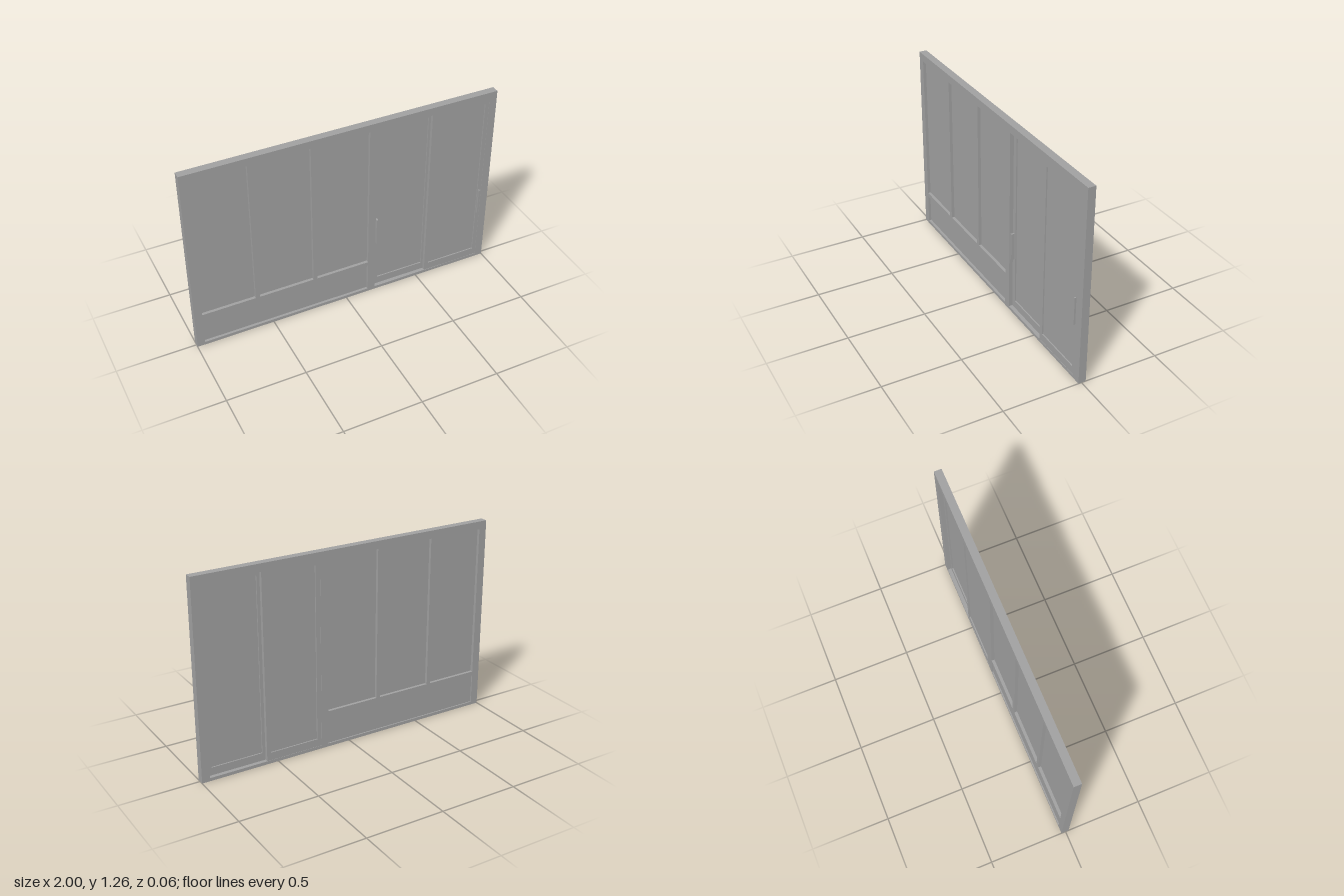
import * as THREE from 'three';

export function createModel() {
  const model = new THREE.Group();
  model.name = 'slidingWindowWall';
  const grey = new THREE.MeshStandardMaterial({ color: 0xa0a0a0 });
  grey.name = 'grey';

  const add = (name, geometry) => {
    const mesh = new THREE.Mesh(geometry, grey);
    mesh.name = name;
    model.add(mesh);
  };

  // Box given by its limits
  const box = (name, x0, x1, y0, y1, z0, z1) => {
    const g = new THREE.BoxGeometry(x1 - x0, y1 - y0, z1 - z0);
    g.translate((x0 + x1) / 2, (y0 + y1) / 2, (z0 + z1) / 2);
    add(name, g);
  };

  const trace = (path, [x0, x1, y0, y1]) =>
    path.moveTo(x0, y0).lineTo(x1, y0).lineTo(x1, y1).lineTo(x0, y1).closePath();

  // Flat frame with rectangular openings
  const frame = (name, outline, openings, z0, z1) => {
    const shape = trace(new THREE.Shape(), outline);
    for (const o of openings) shape.holes.push(trace(new THREE.Path(), o));
    const g = new THREE.ExtrudeGeometry(shape, { depth: z1 - z0, bevelEnabled: false });
    g.translate(0, 0, z0);
    add(name, g);
  };

  // Outer frame: three lights, a low panel and the door opening
  const lights = [[-0.95, -0.608], [-0.582, -0.225], [-0.198, 0.15]].map(([a, b]) => [a, b, 0.24, 1.21]);
  const lowPanel = [-0.95, 0.15, 0.02, 0.213];
  const doorway = [0.198, 0.95, 0.02, 1.21];
  frame('outerFrame', [-1, 1, 0, 1.26], [...lights, lowPanel, doorway], -0.028, 0.02);

  // Fixed panes and the solid panel below them
  lights.forEach((l, i) => box('fixedPane' + (i + 1), ...l, -0.009, 0.001));
  box('lowerPanel', ...lowPanel, -0.02, 0.003);

  // Sliding doors on two tracks, each a frame around a recessed pane
  const door = (name, x0, x1, z0, z1) => {
    const pane = [x0 + 0.03, x1 - 0.025, 0.07, 1.185];
    frame(name + 'Frame', [x0, x1, 0.02, 1.21], [pane], z0, z1);
    box(name + 'Pane', ...pane, z0 + 0.008, z1 - 0.008);
  };
  door('rearDoor', 0.198, 0.574, -0.026, -0.004);
  door('frontDoor', 0.563, 0.95, -0.003, 0.018);

  // Pull handles
  box('rearDoorHandle', 0.207, 0.218, 0.37, 0.55, -0.004, 0.018);
  box('frontDoorHandle', 0.929, 0.937, 0.37, 0.55, 0.01, 0.029);

  return model;
}
